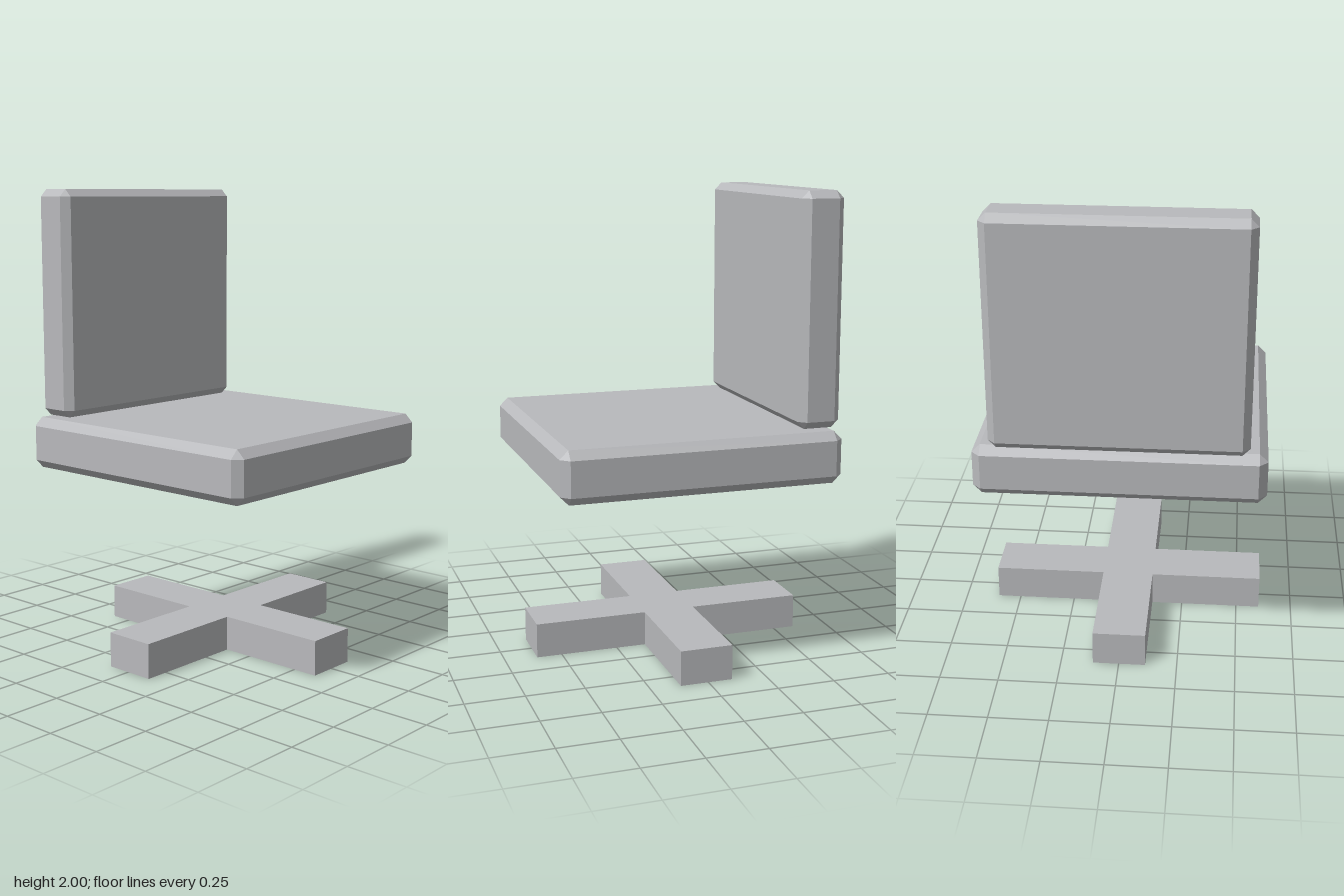
import * as THREE from 'three';
import { ConvexGeometry } from 'three/addons/geometries/ConvexGeometry.js';

// Box with every edge chamfered by c and triangular corners
function chamferedBox(w, h, d, c) {
  const points = [];
  for (const x of [-1, 1]) for (const y of [-1, 1]) for (const z of [-1, 1]) {
    for (let axis = 0; axis < 3; axis++) {
      const inset = [c, c, c];
      inset[axis] = 0;
      points.push(new THREE.Vector3(
        x * (w / 2 - inset[0]), y * (h / 2 - inset[1]), z * (d / 2 - inset[2])));
    }
  }
  return new ConvexGeometry(points);
}

// Plus-shaped outline with arms of half length r and half width a
function crossShape(r, a) {
  const shape = new THREE.Shape();
  const corners = [];
  for (let i = 0; i < 4; i++) {
    const turn = i * Math.PI / 2;
    for (const [x, y] of [[r, -a], [r, a], [a, a]]) {
      corners.push(new THREE.Vector2(x, y).rotateAround(new THREE.Vector2(), turn));
    }
  }
  return shape.setFromPoints(corners);
}

export function createModel() {
  const model = new THREE.Group();
  model.name = 'swivelChair';
  const grey = new THREE.MeshStandardMaterial({ color: 0xb8b9bc });
  grey.name = 'light grey';

  function add(name, geometry, x, y, z) {
    const mesh = new THREE.Mesh(geometry, grey);
    mesh.name = name;
    mesh.position.set(x, y, z);
    model.add(mesh);
  }

  // Cross-shaped foot, extruded upwards from the floor
  const foot = new THREE.ExtrudeGeometry(crossShape(0.602, 0.113), { depth: 0.15, bevelEnabled: false });
  foot.rotateX(-Math.PI / 2);
  add('crossBase', foot, -0.001, 0, 0.008);

  // Seat cushion, floating above the foot
  add('seat', chamferedBox(1.204, 0.222, 1.204, 0.036), -0.001, 0.909, 0.008);

  // Upright back cushion at the rear of the seat
  add('backrest', chamferedBox(1.056, 0.98, 0.186, 0.032), -0.001, 1.51, -0.517);

  return model;
}
